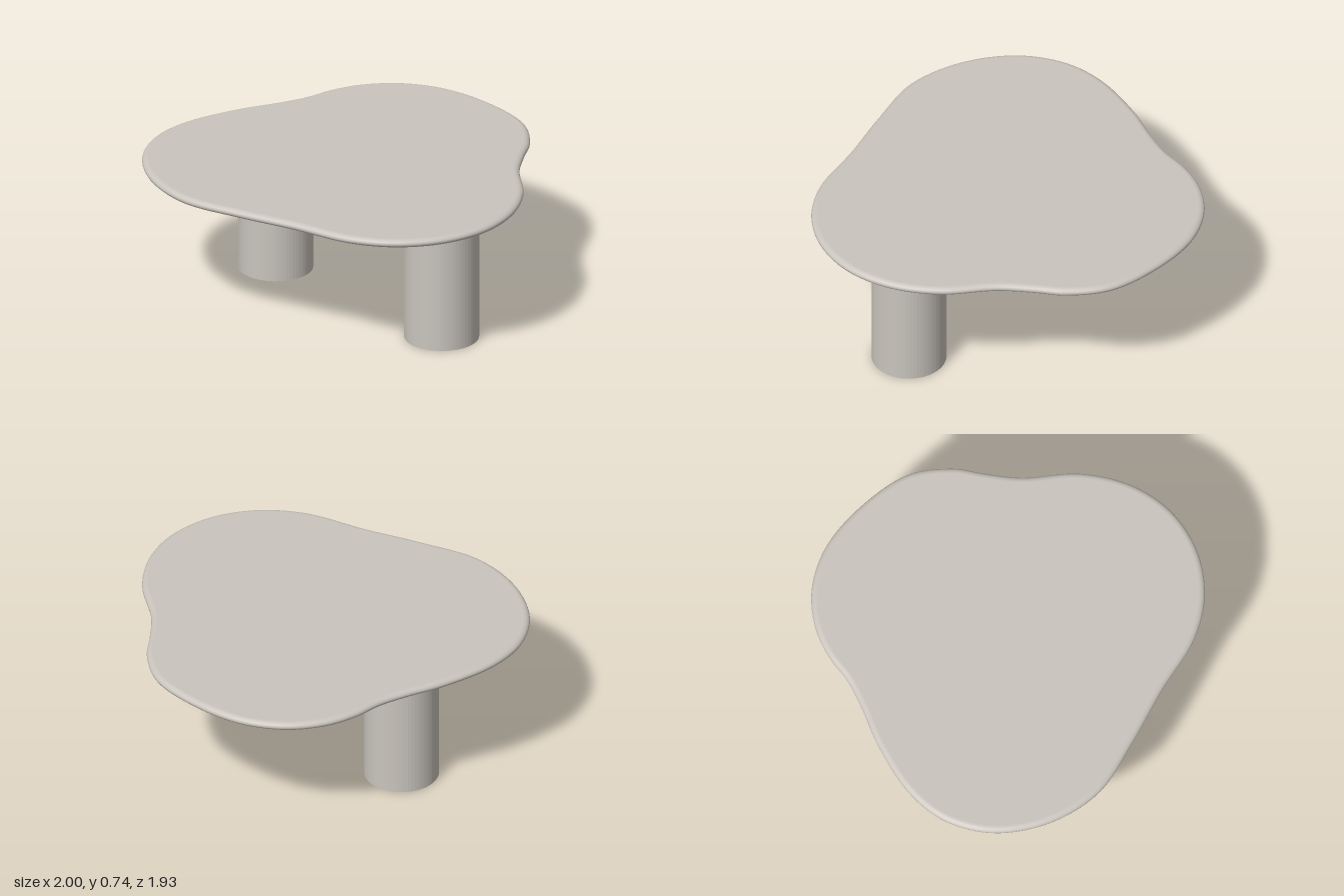
import * as THREE from 'three';

const TOP_Y = 0.735, UNDER_Y = 0.69;

// Freeform outline of the table top, as x, z pairs
const OUTLINE = [
  [-0.12, -0.97], [0.19, -0.925], [0.38, -0.785], [0.47, -0.66], [0.59, -0.51],
  [0.81, -0.325], [0.95, -0.105], [0.998, 0.135], [0.945, 0.38], [0.805, 0.58],
  [0.605, 0.71], [0.3, 0.79], [0, 0.885], [-0.315, 0.96], [-0.61, 0.9],
  [-0.85, 0.735], [-0.975, 0.52], [-0.997, 0.29], [-0.93, 0], [-0.85, -0.195],
  [-0.797, -0.355], [-0.775, -0.505], [-0.715, -0.665], [-0.585, -0.825], [-0.385, -0.935],
];

// Slab whose rim is a half-ellipse swept along the outline
function slabGeometry(segments = 160, rimSteps = 12, inset = 0.032) {
  const curve = new THREE.CatmullRomCurve3(
    OUTLINE.map(([x, z]) => new THREE.Vector3(x, 0, z)), true, 'centripetal');
  const mid = (TOP_Y + UNDER_Y) / 2, half = (TOP_Y - UNDER_Y) / 2;
  const positions = [], index = [];
  for (let j = 0; j <= rimSteps; j++) {
    const phi = Math.PI * (0.5 - j / rimSteps);
    const shift = inset * (Math.cos(phi) - 1);
    for (let i = 0; i < segments; i++) {
      const p = curve.getPoint(i / segments), t = curve.getTangent(i / segments);
      positions.push(p.x + t.z * shift, mid + half * Math.sin(phi), p.z - t.x * shift);
    }
  }
  const topCentre = positions.length / 3, underCentre = topCentre + 1;
  positions.push(0, TOP_Y, 0, 0, UNDER_Y, 0);
  const last = rimSteps * segments;
  for (let i = 0; i < segments; i++) {
    const n = (i + 1) % segments;
    for (let j = 0; j < rimSteps; j++) {
      const r = j * segments, s = r + segments;
      index.push(r + i, r + n, s + i, r + n, s + n, s + i);
    }
    index.push(topCentre, n, i, underCentre, last + i, last + n);
  }
  const geometry = new THREE.BufferGeometry();
  geometry.setAttribute('position', new THREE.Float32BufferAttribute(positions, 3));
  geometry.setIndex(index);
  geometry.computeVertexNormals();
  return geometry;
}

export function createModel() {
  const table = new THREE.Group();
  table.name = 'coffeeTable';
  const stone = new THREE.MeshStandardMaterial({ color: 0xc9c4bd });
  stone.name = 'warmGrey';

  const top = new THREE.Mesh(slabGeometry(), stone);
  top.name = 'tableTop';
  table.add(top);

  // Two cylindrical legs with fine facets
  const legGeometry = new THREE.CylinderGeometry(0.189, 0.189, UNDER_Y + 0.005, 64).toNonIndexed();
  legGeometry.computeVertexNormals();
  for (const [name, x] of [['rightLeg', -0.573], ['leftLeg', 0.627]]) {
    const leg = new THREE.Mesh(legGeometry, stone);
    leg.name = name;
    leg.position.set(x, (UNDER_Y + 0.005) / 2, 0.07);
    table.add(leg);
  }
  return table;
}
